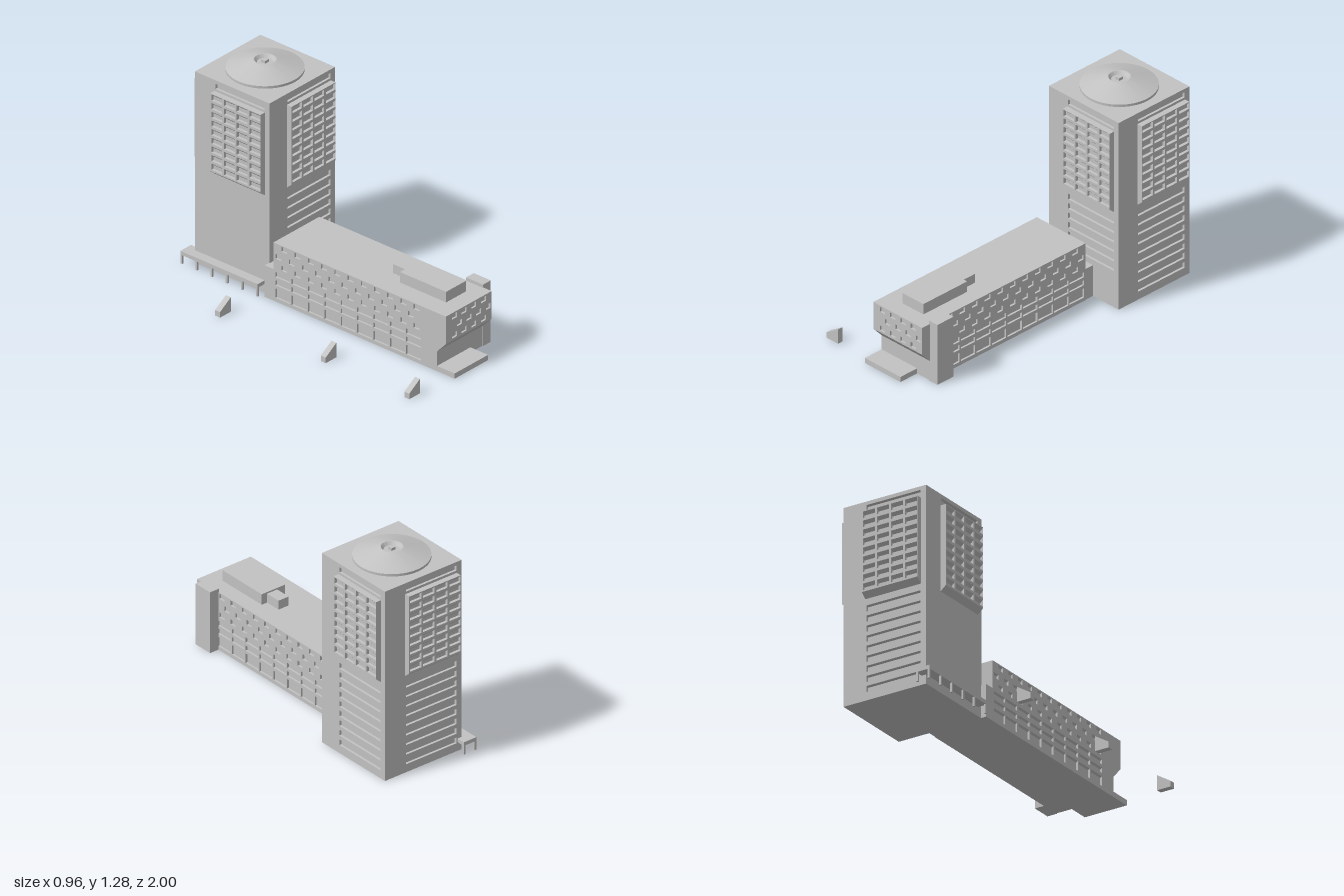
import * as THREE from 'three';
import { mergeGeometries, toCreasedNormals } from 'three/addons/utils/BufferGeometryUtils.js';

const concrete = new THREE.MeshStandardMaterial({ color: 0xc2c2c2 });
concrete.name = 'concrete grey';

const mesh = (name, geometry, parent) => {
  const m = new THREE.Mesh(geometry, concrete);
  m.name = name;
  parent.add(m);
  return m;
};

// Box given by its extents on each axis
function box(name, [x0, x1], [y0, y1], [z0, z1], parent) {
  const g = new THREE.BoxGeometry(x1 - x0, y1 - y0, z1 - z0);
  g.translate((x0 + x1) / 2, (y0 + y1) / 2, (z0 + z1) / 2);
  return mesh(name, g, parent);
}

const shapeOf = (pts) => new THREE.Shape(pts.map(([x, y]) => new THREE.Vector2(x, y)));
const rect = (x0, x1, y0, y1) => [[x0, y0], [x1, y0], [x1, y1], [x0, y1]];
const extrude = (shape, depth) =>
  new THREE.ExtrudeGeometry(shape, { depth, bevelEnabled: false });

// Prism along x: profile points are (z, y)
const prismX = (pts, x0, x1) =>
  extrude(shapeOf(pts.map(([z, y]) => [-z, y])), x1 - x0).rotateY(Math.PI / 2).translate(x0, 0, 0);

// Wall skin facing +z with its face at z = 0; each pocket is a hole with a sloped soffit
function facade(outline, pockets, depth) {
  const shape = shapeOf(outline);
  const parts = [];
  for (const { x, top, w, h, slope } of pockets) {
    shape.holes.push(new THREE.Path(
      rect(x, x + w, top - h, top).map(([px, py]) => new THREE.Vector2(px, py))));
    parts.push(prismX([[0, top], [-depth, top], [-depth, top - slope]], x, x + w));
  }
  parts.push(extrude(shape, depth).translate(0, 0, -depth));
  return mergeGeometries(parts);
}

function buildTower() {
  const tower = new THREE.Group();
  tower.name = 'tower';
  tower.position.set(0.17, 0, -0.67);
  const half = 0.275, height = 1.215, d = 0.015, bayDepth = 0.035, bayCut = 0.018;
  const bay0 = -0.13, bay1 = 0.24;
  const inner = half - d;
  box('towerCore', [-inner, inner], [0, height], [-inner, inner], tower);

  // Window grid of the projecting bays
  const grid = [];
  for (let row = 0; row < 9; row++) {
    for (let col = 0; col < 4; col++) {
      grid.push({ x: bay0 + 0.007 + col * 0.0935, top: 1.14 - row * 0.055, w: 0.08, h: 0.039, slope: 0.017 });
    }
  }

  // Front, right, back and left walls, each turned a quarter from the last
  [6, 9, 9, 0].forEach((strips, i) => {
    const side = new THREE.Group();
    side.name = ['frontWall', 'leftWall', 'backWall', 'rightWall'][i];
    side.rotation.y = i * Math.PI / 2;
    tower.add(side);
    const slot = (top, h) => ({ x: bay0 + 0.007, top, w: 0.36, h, slope: 0.006 });
    const slots = [slot(1.193, 0.033)];
    for (let k = 0; k < strips; k++) slots.push(slot(0.58 - k * 0.0615, 0.037));
    mesh('wallSkin', facade(rect(-half, half, 0, height), slots, d).translate(0, 0, half), side);

    // Bay backing with a sloped underside, then its window grid
    const back = bayDepth - bayCut;
    mesh('bayBase', prismX([
      [0, 0.62], [bayDepth, 0.65], [bayDepth, 0.655], [back, 0.655], [back, 1.145], [0, 1.145],
    ], bay0, bay1).translate(0, 0, half), side);
    mesh('bayWindows', facade(rect(bay0, bay1, 0.655, 1.145), grid, bayCut)
      .translate(0, 0, half + bayDepth), side);
  });

  // Shallow dome with a sunken vent
  const profile = [[0.22, 1.214], [0.22, 1.23], [0.066, 1.28], [0.06, 1.28], [0.045, 1.262], [0, 1.262]];
  const dome = new THREE.LatheGeometry(profile.map(([r, y]) => new THREE.Vector2(r, y)), 48);
  mesh('roofDome', toCreasedNormals(dome, 0.25), tower);
  box('roofVent', [-0.015, 0.015], [1.26, 1.278], [-0.015, 0.015], tower);
  return tower;
}

function buildWing() {
  const wing = new THREE.Group();
  wing.name = 'wing';
  const x0 = -0.14, x1 = 0.245, d = 0.012, front = 0.935, rear = -0.335, top = 0.37;

  // Core with the overhanging front
  mesh('wingCore', prismX([
    [rear, 0], [0.87, 0], [0.87, 0.125], [front, 0.195], [front, 0.2],
    [front - d, 0.2], [front - d, top], [rear, top],
  ], x0 + d, x1 - d), wing);

  // Front windows in staggered rows
  const frontPockets = [];
  for (let row = 0; row < 3; row++) {
    for (let col = 0; col < 4; col++) {
      frontPockets.push({
        x: -0.088 + col * 0.081 + (row % 2) * 0.041, top: 0.36 - row * 0.06, w: 0.041, h: 0.031, slope: 0.008,
      });
    }
  }
  mesh('frontWindows', facade(rect(x0, x1, 0.2, top), frontPockets, d).translate(0, 0, front), wing);

  // Long sides: three staggered rows above three rows of wide windows
  for (const s of [1, -1]) {
    const pockets = [];
    const add = (z, y, w, h) =>
      pockets.push({ x: s > 0 ? -z - w : z, top: y, w, h, slope: 0.008 });
    for (let row = 0; row < 3; row++) {
      for (let k = 0; k < 11; k++) {
        add(0.698 - k * 0.0975 - (row % 2) * 0.043, 0.363 - row * 0.06, 0.043, 0.031);
      }
      for (let k = 0; k < 9; k++) {
        add(0.643 - k * 0.1205, [0.187, 0.135, 0.083][row], 0.11, [0.032, 0.032, 0.06][row]);
      }
    }
    const outline = [[rear, 0], [0.87, 0], [0.87, 0.125], [front, 0.195], [front, top], [rear, top]]
      .map(([z, y]) => [-s * z, y]);
    const skin = mesh(s > 0 ? 'leftSideWindows' : 'rightSideWindows', facade(outline, pockets, d), wing);
    skin.rotation.y = s * Math.PI / 2;
    skin.position.x = s > 0 ? x1 : x0;
  }

  box('connector', [x0, x1 - 0.003], [0, 0.2], [-0.4, rear], wing);
  box('stairShaft', [x1 - 0.005, 0.305], [0, 0.39], [0.75, 0.875], wing);
  box('roofPlant', [-0.018, 0.148], [top, 0.437], [0.49, 0.83], wing);
  box('roofPlantAnnex', [0.037, 0.11], [top, 0.427], [0.39, 0.49], wing);
  box('entranceStep', [x0, 0.14], [0, 0.033], [0.87, 1], wing);
  return wing;
}

function buildCanopy() {
  const canopy = new THREE.Group();
  canopy.name = 'walkwayCanopy';
  box('canopyRoof', [-0.165, -0.075], [0.056, 0.079], [-1, -0.43], canopy);
  const post = (x, z) => box('canopyPost', [x, x + 0.012], [0, 0.057], [z, z + 0.012], canopy);
  for (let i = 0; i < 6; i++) post(-0.165, -1 + i * 0.1116);
  post(-0.087, -1);
  return canopy;
}

export function createModel() {
  const model = new THREE.Group();
  model.name = 'towerBlockWithWing';
  model.add(buildTower(), buildWing(), buildCanopy());

  // Sloped blocks standing along one side
  const fin = extrude(shapeOf([[-0.48, 0], [-0.39, 0], [-0.39, 0.092], [-0.48, 0.035]]), 0.036);
  for (const z of [-0.448, 0.33, 0.946]) {
    mesh('slopedBlock', fin, model).position.z = z - 0.018;
  }
  return model;
}
